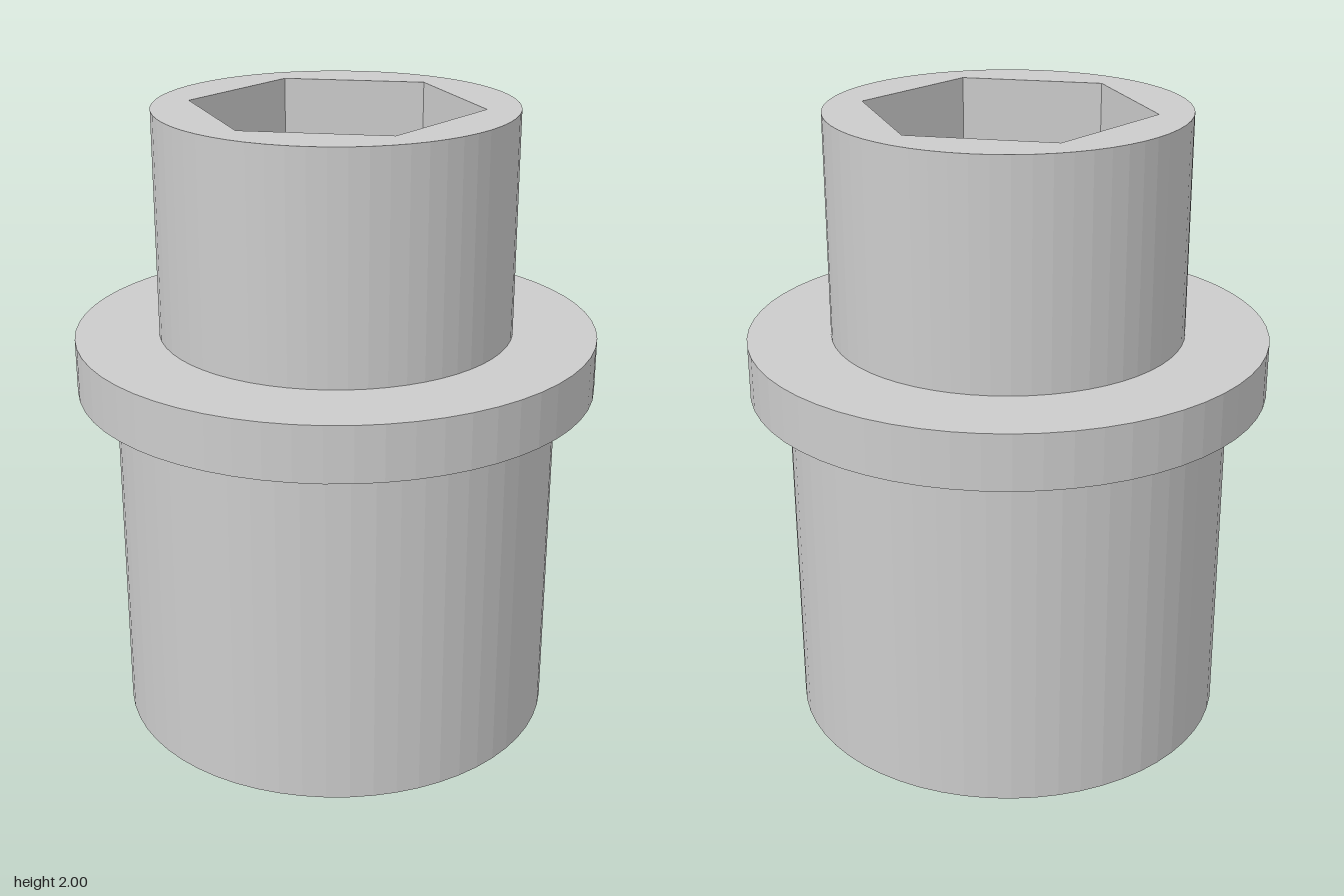
import * as THREE from 'three';

const SEGMENTS = 60;
const BORE_R = 0.377, NECK_R = 0.56, BODY_R = 0.703, FLANGE_R = 0.823, HEX_R = 0.455;
const TOP = 2, SOCKET_FLOOR = 1.71, FLANGE_TOP = 1.295, FLANGE_BOTTOM = 1.12;

const material = new THREE.MeshStandardMaterial({ color: 0xcccccc, flatShading: true });

function addMesh(group, name, geometry) {
  const flat = geometry.index ? geometry.toNonIndexed() : geometry;
  flat.computeVertexNormals();
  const mesh = new THREE.Mesh(flat, material);
  mesh.name = name;
  group.add(mesh);
}

// Faceted surface of revolution; rising profiles face outward, falling ones inward
function turned(profile, sides = SEGMENTS) {
  const points = profile.map(([r, y]) => new THREE.Vector2(r, y));
  return new THREE.LatheGeometry(points, sides, Math.PI / 2);
}

// Regular polygon with a corner on +x
function polygon(radius, sides) {
  return Array.from({ length: sides }, (_, i) => {
    const a = (i / sides) * Math.PI * 2;
    return new THREE.Vector2(radius * Math.cos(a), radius * Math.sin(a));
  });
}

// Flat upward-facing ring between two polygons
function flatRing(outer, inner, y) {
  const shape = new THREE.Shape(outer);
  shape.holes.push(new THREE.Path(inner));
  return new THREE.ShapeGeometry(shape).rotateX(-Math.PI / 2).translate(0, y, 0);
}

export function createModel() {
  const group = new THREE.Group();
  group.name = 'flangedSocketBushing';

  // Through bore
  addMesh(group, 'bore', turned([[BORE_R, SOCKET_FLOOR], [BORE_R, 0]]));

  // Lower body with its annular underside
  addMesh(group, 'body', turned([[BORE_R, 0], [BODY_R, 0], [BODY_R, FLANGE_BOTTOM]]));

  // Flange collar
  addMesh(group, 'flange', turned([
    [BODY_R, FLANGE_BOTTOM], [FLANGE_R, FLANGE_BOTTOM],
    [FLANGE_R, FLANGE_TOP], [NECK_R, FLANGE_TOP],
  ]));

  // Upper neck and its rim around the hexagonal opening
  addMesh(group, 'neck', turned([[NECK_R, FLANGE_TOP], [NECK_R, TOP]]));
  addMesh(group, 'neckRim', flatRing(polygon(NECK_R, SEGMENTS), polygon(HEX_R, 6), TOP));

  // Hexagonal socket walls and the ledge where it meets the bore
  addMesh(group, 'socketWalls', turned([[HEX_R, TOP], [HEX_R, SOCKET_FLOOR]], 6));
  addMesh(group, 'socketLedge', flatRing(polygon(HEX_R, 6), polygon(BORE_R, SEGMENTS), SOCKET_FLOOR));

  return group;
}
